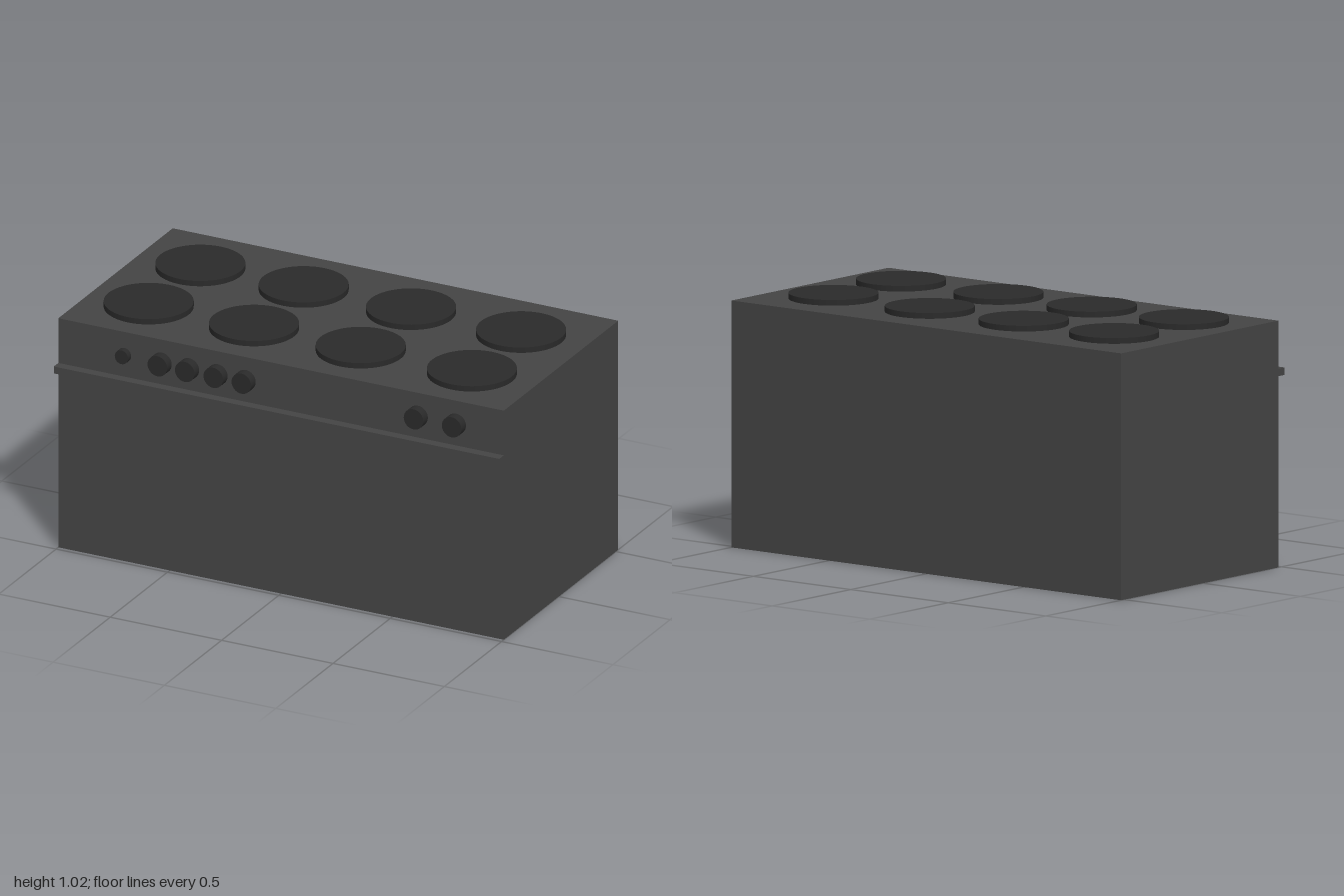
import * as THREE from 'three';

export function createModel() {
  const model = new THREE.Group();
  const bodyMat = new THREE.MeshStandardMaterial({ color: 0x444444 });
  const darkMat = new THREE.MeshStandardMaterial({ color: 0x2a2a2a });

  const add = (name, geometry, material, x, y, z) => {
    const mesh = new THREE.Mesh(geometry, material);
    mesh.name = name;
    mesh.position.set(x, y, z);
    model.add(mesh);
    return mesh;
  };

  // Cabinet and full-width front rail
  add('body', new THREE.BoxGeometry(2, 1, 1), bodyMat, 0, 0.5, -0.02);
  add('handleRail', new THREE.BoxGeometry(2, 0.03, 0.04), bodyMat, 0, 0.79, 0.5);

  // Two rows of round hot plates
  const plate = new THREE.CylinderGeometry(0.18, 0.18, 0.023, 64);
  const rows = [
    { z: -0.22, xs: [-0.722, -0.258, 0.224, 0.718] },
    { z: 0.21, xs: [-0.733, -0.26, 0.219, 0.718] },
  ];
  for (const { z, xs } of rows) {
    for (const x of xs) add('hotPlate', plate, darkMat, x, 1.0115, z);
  }

  // Control knobs, facing forward
  const addKnob = (name, x, radius, depth) => {
    const geometry = new THREE.CylinderGeometry(radius, radius, depth, 32);
    geometry.rotateX(Math.PI / 2);
    add(name, geometry, darkMat, x, 0.9, 0.48 + depth / 2);
  };
  for (const x of [-0.535, -0.412, -0.284, -0.158, 0.615, 0.786]) addKnob('knob', x, 0.044, 0.04);
  addKnob('smallKnob', -0.703, 0.03, 0.027);

  return model;
}
